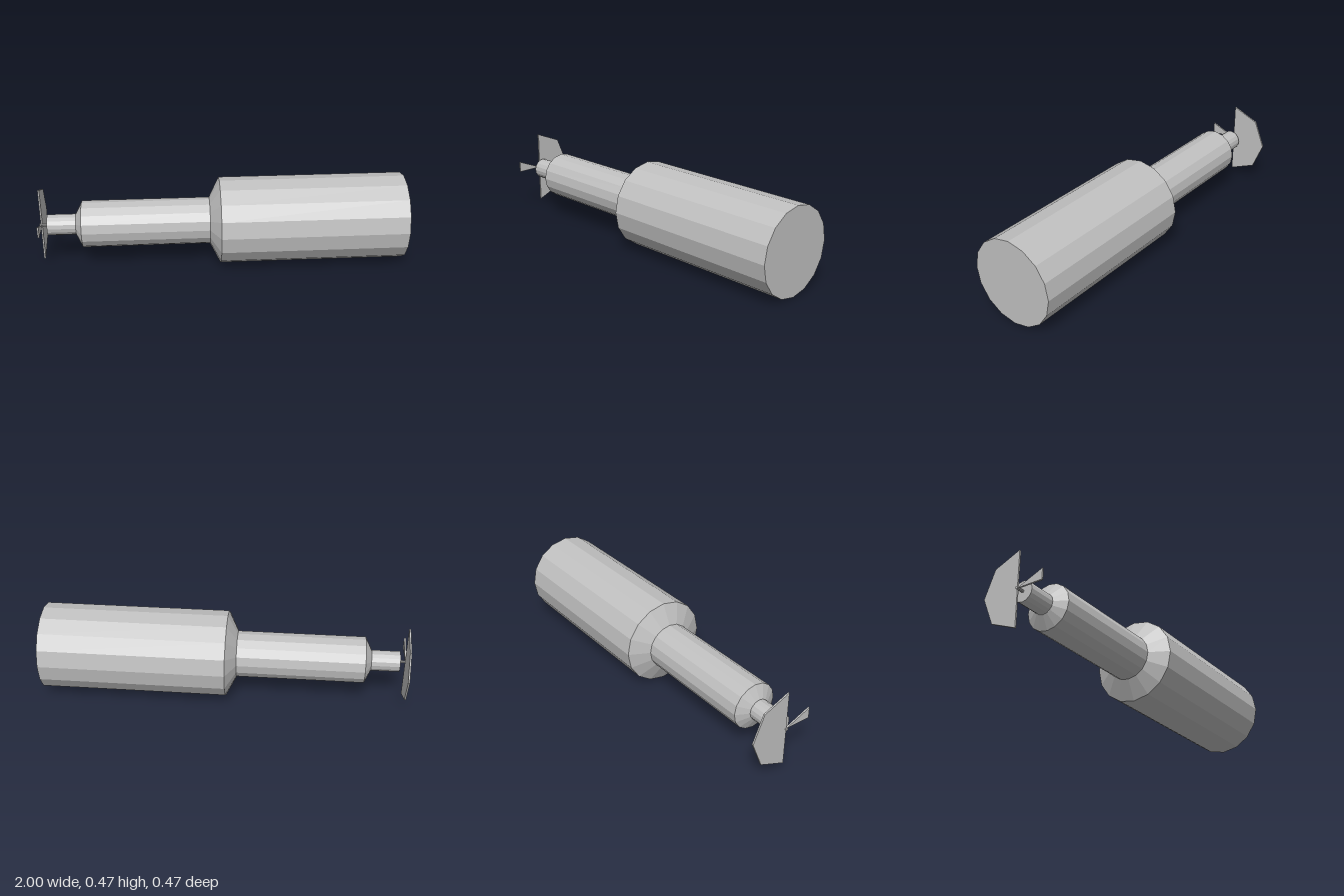
import * as THREE from 'three';

const AXIS_Y = 0.237;
const SIDES = 16;

export function createModel() {
  const model = new THREE.Group();
  const grey = new THREE.MeshStandardMaterial({ color: 0xc0c0c0 });
  grey.name = 'plain grey';
  grey.flatShading = true;

  const add = (name, geometry) => {
    const mesh = new THREE.Mesh(geometry, grey);
    mesh.name = name;
    mesh.position.y = AXIS_Y;
    model.add(mesh);
  };

  // Turned part along x, from [radius, x] pairs ordered by rising x
  const turned = (name, profile, sides = SIDES) => {
    const points = profile.map(([r, x]) => new THREE.Vector2(r, x));
    add(name, new THREE.LatheGeometry(points, sides).rotateZ(-Math.PI / 2));
  };

  // Flat blade in the yz plane, from [z, y] pairs around the axis
  const blade = (name, outline) => {
    const shape = new THREE.Shape(outline.map(([z, y]) => new THREE.Vector2(-z, y)));
    const geometry = new THREE.ExtrudeGeometry(shape, { depth: 0.009, bevelEnabled: false });
    add(name, geometry.rotateY(Math.PI / 2).translate(-0.994, 0, 0));
  };

  // Stepped body with conical shoulders, closed at both ends
  turned('body', [
    [0, -0.8], [0.06, -0.8], [0.128, -0.765], [0.128, -0.07],
    [0.237, -0.015], [0.237, 1], [0, 1],
  ]);
  turned('hub', [[0, -0.955], [0.057, -0.955], [0.057, -0.79]]);
  turned('shaft', [[0, -1], [0.008, -1], [0.008, -0.95]], 8);

  // Half-octagon blade on the -z side
  const half = [];
  for (let i = 0; i <= 4; i++) {
    const a = -Math.PI / 2 + (i * Math.PI) / 4;
    half.push([-0.21 * Math.cos(a), 0.21 * Math.sin(a)]);
  }
  blade('wideBlade', half);

  // Narrow wedge blade on the +z side
  blade('narrowBlade', [[0, 0], [0.148, 0.061], [0.148, 0]]);

  return model;
}
